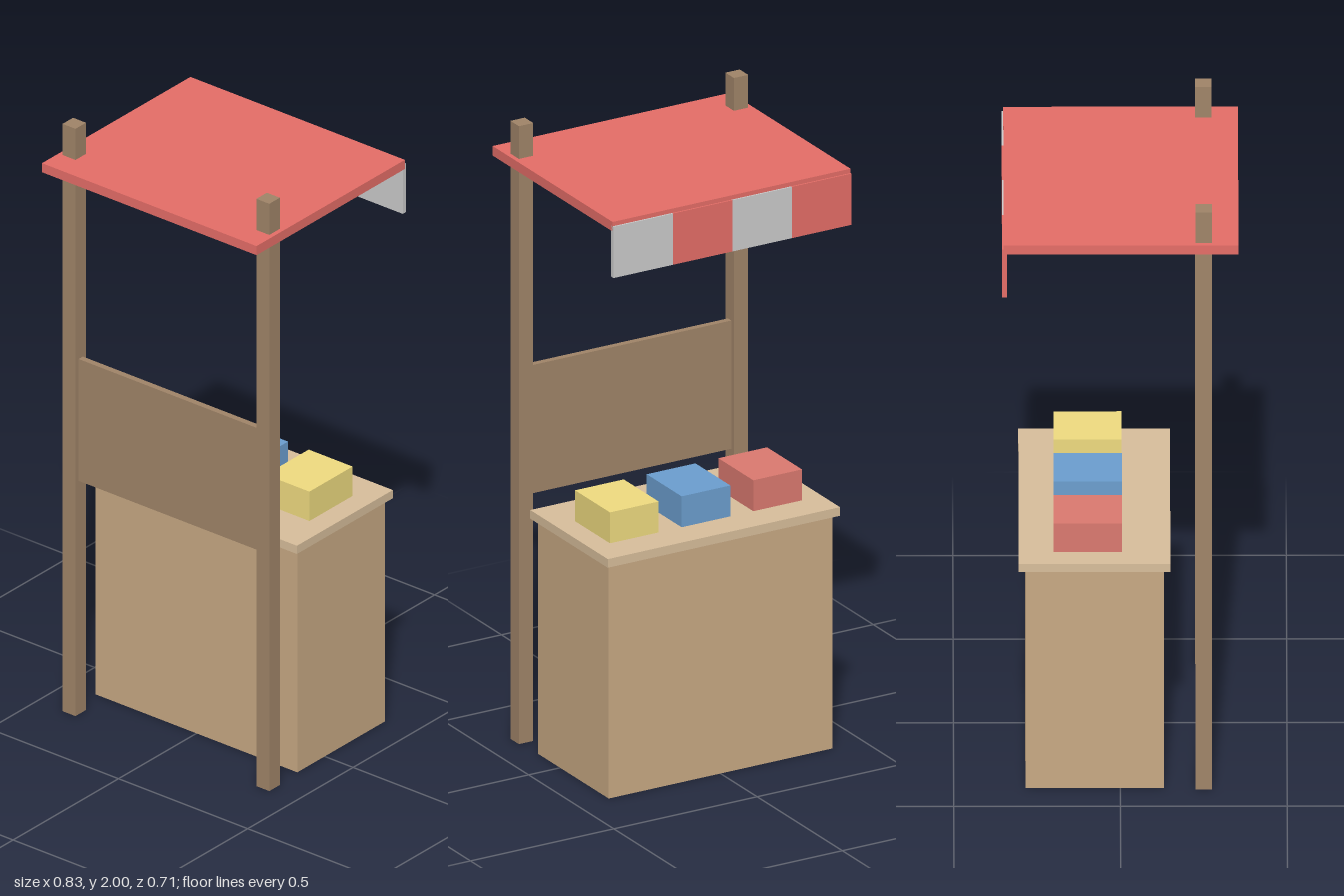
import * as THREE from 'three';

const material = (color) => new THREE.MeshStandardMaterial({ color });
const darkWood = material(0xa18569);
const lightWood = material(0xc9aa84);
const paleWood = material(0xd9bf9c);
const red = material(0xe66e68);
const grey = material(0xcccccc);

// Box given by its [min, max] range on each axis
function box(name, mat, [x0, x1], [y0, y1], [z0, z1]) {
  const mesh = new THREE.Mesh(new THREE.BoxGeometry(x1 - x0, y1 - y0, z1 - z0), mat);
  mesh.position.set((x0 + x1) / 2, (y0 + y1) / 2, (z0 + z1) / 2);
  mesh.name = name;
  return mesh;
}

export function createModel() {
  const stall = new THREE.Group();
  stall.name = 'marketStall';

  // Counter with overhanging top
  stall.add(
    box('counterBody', lightWood, [-0.39, 0.39], [0, 0.76], [-0.285, 0.13]),
    box('counterTop', paleWood, [-0.405, 0.405], [0.757, 0.785], [-0.305, 0.15])
  );

  // Goods on the counter
  const goods = [['redCrate', 0xdc7a70], ['blueCrate', 0x6c9fd0], ['yellowCrate', 0xf0dc80]];
  goods.forEach(([name, color], i) => {
    const x = (i - 1) * 0.25;
    stall.add(box(name, material(color), [x - 0.085, x + 0.085], [0.785, 0.885], [-0.2, 0.005]));
  });

  // Posts standing through the roof
  for (const [name, x] of [['leftPost', 0.375], ['rightPost', -0.375]]) {
    stall.add(box(name, darkWood, [x - 0.025, x + 0.025], [0, 2], [0.225, 0.275]));
  }

  // Board between the posts
  stall.add(box('board', darkWood, [-0.35, 0.35], [0.795, 1.21], [0.24, 0.26]));

  // Flat roof and its striped valance
  stall.add(box('roof', red, [-0.415, 0.415], [1.863, 1.894], [-0.35, 0.354]));
  const stripe = 0.83 / 4;
  for (let i = 0; i < 4; i++) {
    const x = -0.415 + i * stripe;
    stall.add(box('valanceStripe' + (i + 1), i % 2 ? grey : red, [x, x + stripe], [1.714, 1.88], [-0.355, -0.34]));
  }

  return stall;
}
